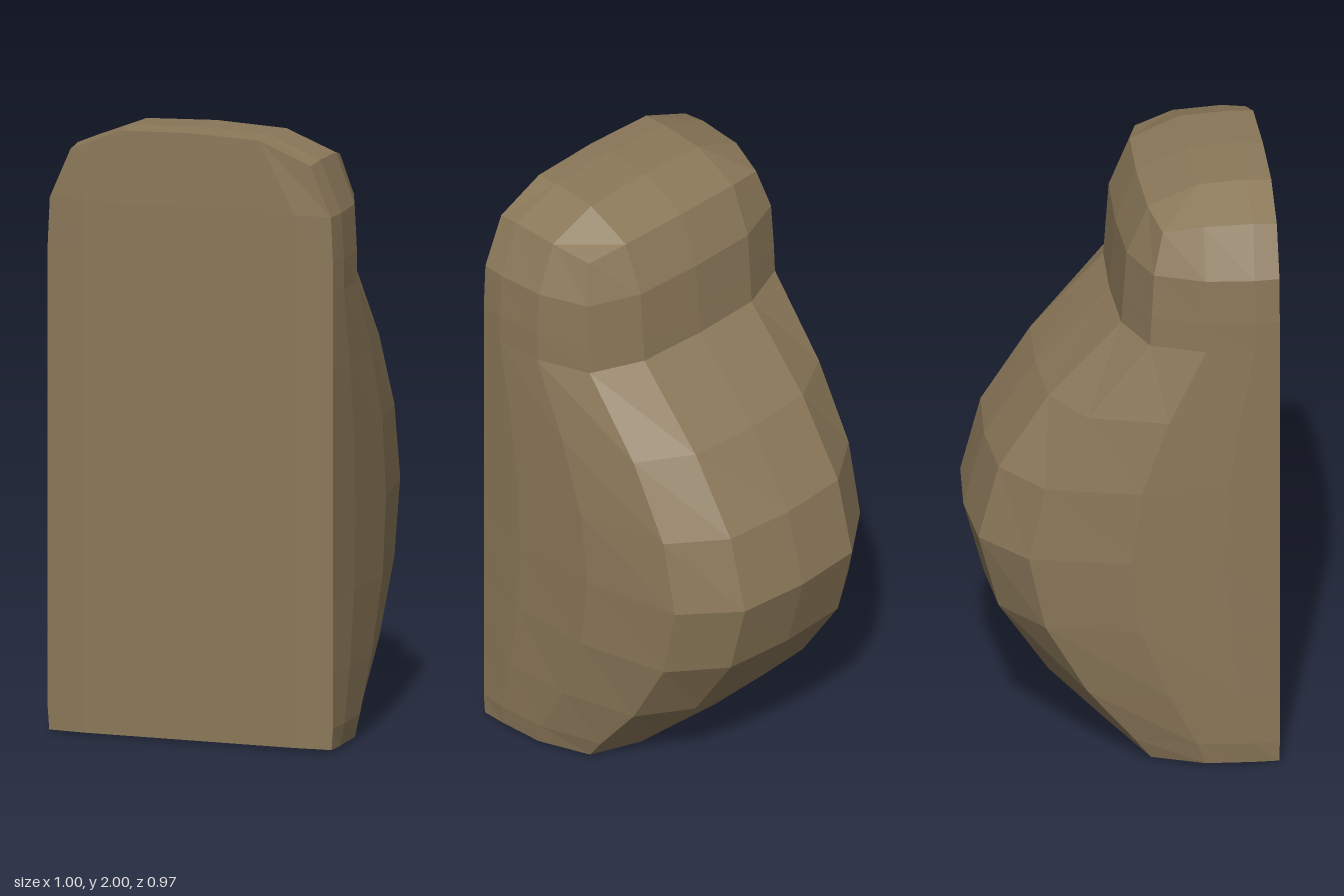
import * as THREE from 'three';

// Half cross-section (back centre -> left side -> front centre) of the padded body.
function halfRing([y, zBack, zCorner, xCorner, zSide, xSide, xMax, xFront]) {
  const bulge = (zCorner - zBack) * 0.12;
  return [
    [0, y, zBack], [0.24, y, zBack + bulge], [xCorner, y, zCorner],
    [xSide, y, zSide], [xMax, y, zSide * 0.4 + 0.3],
    [xFront, y, 0.477], [0.36, y, 0.487], [0, y, 0.487],
  ];
}

// Full 14-point loop by mirroring the half across x = 0.
function fullRing(half) {
  const mirrored = half.slice(1, 7).reverse().map(([x, y, z]) => [-x, y, z]);
  return [...half, ...mirrored];
}

export function createModel() {
  const group = new THREE.Group();
  group.name = 'paddedPack';

  // y, back z, corner z, corner x, side z, side x, widest x, front x
  const rows = [
    [0.008, 0.0, 0.07, 0.41, 0.24, 0.475, 0.485, 0.485],
    [0.08, -0.08, 0.015, 0.415, 0.215, 0.483, 0.495, 0.49],
    [0.26, -0.255, -0.135, 0.415, 0.12, 0.487, 0.499, 0.49],
    [0.5, -0.42, -0.272, 0.415, 0.03, 0.49, 0.5, 0.49],
    [0.75, -0.487, -0.325, 0.415, 0.0, 0.49, 0.5, 0.49],
    [1.0, -0.42, -0.272, 0.415, 0.03, 0.49, 0.5, 0.49],
    [1.25, -0.255, -0.135, 0.415, 0.12, 0.487, 0.499, 0.49],
    [1.5, -0.015, 0.067, 0.415, 0.24, 0.483, 0.497, 0.49],
    [1.6, -0.008, 0.072, 0.415, 0.24, 0.482, 0.497, 0.49],
    [1.75, 0.003, 0.08, 0.41, 0.24, 0.474, 0.488, 0.483],
  ];
  const rings = rows.map((r) => fullRing(halfRing(r)));

  // Rounded upper rim
  rings.push(fullRing([
    [0, 1.918, 0.072], [0.24, 1.912, 0.08], [0.375, 1.885, 0.113],
    [0.41, 1.915, 0.24], [0.416, 1.92, 0.4], [0.412, 1.912, 0.477],
    [0.24, 1.985, 0.48], [0, 1.993, 0.482],
  ]));

  const points = rings.flat();
  const index = [];
  const quad = (a, b, c, d) => index.push(a, b, c, a, c, d);

  // Walls between neighbouring rings
  const n = 14;
  for (let i = 0; i < rings.length - 1; i++) {
    for (let j = 0; j < n; j++) {
      const k = (j + 1) % n;
      quad(i * n + j, (i + 1) * n + j, (i + 1) * n + k, i * n + k);
    }
  }

  // Grid cap that fills a ring, with two inner rows of three points
  function cap(base, heights, up) {
    const inner = [0.24, 0.4].map((z, r) => [-0.24, 0, 0.24].map((x, c) => {
      points.push([x, heights[r][c % 2], z]);
      return points.length - 1;
    }));
    const at = (j) => base + j;
    const grid = [
      [12, 13, 0, 1, 2].map(at),
      [at(11), ...inner[0], at(3)],
      [at(10), ...inner[1], at(4)],
      [9, 8, 7, 6, 5].map(at),
    ];
    for (let r = 0; r < 3; r++) {
      for (let c = 0; c < 4; c++) {
        const q = [grid[r][c], grid[r + 1][c], grid[r + 1][c + 1], grid[r][c + 1]];
        quad(...(up ? q : q.reverse()));
      }
    }
  }
  cap((rings.length - 1) * n, [[1.982, 1.992], [1.99, 2.0]], true);
  cap(0, [[0, 0], [0, 0]], false);

  const geometry = new THREE.BufferGeometry();
  geometry.setAttribute('position', new THREE.Float32BufferAttribute(points.flat(), 3));
  geometry.setIndex(index);
  const faceted = geometry.toNonIndexed();
  faceted.computeVertexNormals();

  const body = new THREE.Mesh(
    faceted,
    new THREE.MeshStandardMaterial({ color: 0x8b7859, flatShading: true }),
  );
  body.name = 'body';
  group.add(body);
  return group;
}
